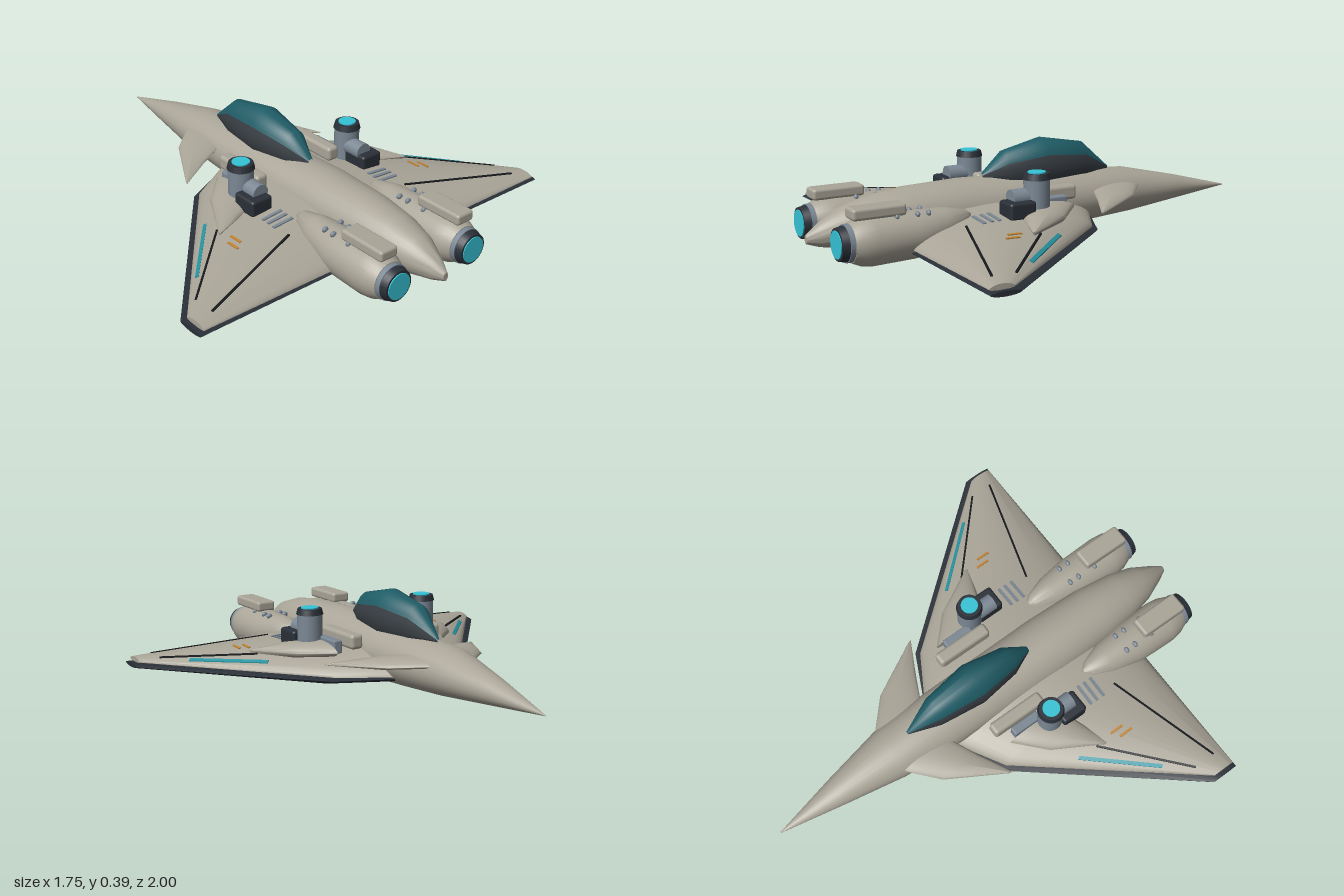
import * as THREE from 'three';
import { mergeVertices, toCreasedNormals } from 'three/addons/utils/BufferGeometryUtils.js';
import { RoundedBoxGeometry } from 'three/addons/geometries/RoundedBoxGeometry.js';

const mat = (name, color) => {
  const m = new THREE.MeshStandardMaterial({ color });
  m.name = name;
  return m;
};

// Skin a list of rings; closed rings also get end caps.
function loft(rings, closed = true, crease = 0.7) {
  const n = rings[0].length, pos = rings.flat(2), index = [];
  for (let i = 0; i < rings.length - 1; i++) {
    for (let j = 0; j < (closed ? n : n - 1); j++) {
      const k = (j + 1) % n, a = i * n + j, b = i * n + k;
      index.push(a, b, a + n, b, b + n, a + n);
    }
  }
  if (closed) {
    for (const i of [0, rings.length - 1]) {
      const c = pos.length / 3;
      pos.push(...[0, 1, 2].map((d) => rings[i].reduce((s, p) => s + p[d], 0) / n));
      for (let j = 0; j < n; j++) {
        const a = i * n + j, b = i * n + (j + 1) % n;
        index.push(c, ...(i ? [a, b] : [b, a]));
      }
    }
  }
  const g = new THREE.BufferGeometry();
  g.setAttribute('position', new THREE.Float32BufferAttribute(pos, 3));
  g.setIndex(index);
  return toCreasedNormals(g, crease);
}

// Elliptical body along z from sections [z, y, rx, ry]
function body(sections, cx = 0, from = 0, to = 360, sides = 28) {
  const closed = to - from === 360;
  return loft(sections.map(([z, y, rx, ry]) =>
    Array.from({ length: closed ? sides : sides + 1 }, (_, j) => {
      const a = THREE.MathUtils.degToRad(from + (to - from) * j / sides);
      return [cx + rx * Math.cos(a), y + ry * Math.sin(a), z];
    })), closed);
}

// Wing section shape; stations are [x, zLead, zTrail, yMid, rise, drop]
const bulge = (t) => Math.pow(Math.max(0, 4 * t * (1 - t)), 0.6);
function wing(stations, steps = 20) {
  return loft(stations.map(([x, lead, trail, y, up, down]) => {
    const ring = [];
    for (let s = 0; s < 2 * steps; s++) {
      const t = (1 - Math.cos(Math.PI * s / steps)) / 2;
      ring.push([x, y + bulge(t) * (s <= steps ? up : -down), lead + (trail - lead) * t]);
    }
    return ring;
  }), true, 0.9);
}

const upperWing = [
  [0.08, -0.22, 0.685, 0.066, 0.108, 0.01],
  [0.31, -0.085, 0.685, 0.068, 0.082, 0.01],
  [0.857, 0.585, 0.685, 0.068, 0.016, 0.006],
];
const lowerWing = [
  [0.09, -0.215, 0.69, 0.06, 0.008, 0.052],
  [0.325, -0.1, 0.69, 0.057, 0.008, 0.042],
  [0.875, 0.57, 0.69, 0.053, 0.01, 0.01],
];

// Height of the upper wing skin at (x, z)
function skinY(x, z) {
  const i = x < upperWing[1][0] ? 0 : 1, a = upperWing[i], b = upperWing[i + 1];
  const [, lead, trail, y, up] = a.map((v, k) => v + (b[k] - v) * (x - a[0]) / (b[0] - a[0]));
  return y + up * bulge((z - lead) / (trail - lead));
}

// Thin strip laid on the wing skin
function strip(x0, z0, x1, z1, w, lift = 0.004) {
  const len = Math.hypot(x1 - x0, z1 - z0);
  const nx = (z1 - z0) / len * w / 2, nz = -(x1 - x0) / len * w / 2;
  const rings = [];
  for (let i = 0; i <= 12; i++) {
    const x = x0 + (x1 - x0) * i / 12, z = z0 + (z1 - z0) * i / 12;
    const p = (s, h) => [x + s * nx, skinY(x + s * nx, z + s * nz) + h, z + s * nz];
    rings.push([p(-1, lift), p(-1, -0.005), p(1, -0.005), p(1, lift)]);
  }
  return loft(rings);
}

const box = (x0, x1, y0, y1, z0, z1, r = 0.012) =>
  new RoundedBoxGeometry(x1 - x0, y1 - y0, z1 - z0, 3, r)
    .translate((x0 + x1) / 2, (y0 + y1) / 2, (z0 + z1) / 2);
const post = (x, y0, y1, z, r0, r1 = r0) =>
  new THREE.CylinderGeometry(r1, r0, y1 - y0, 24).translate(x, (y0 + y1) / 2, z);
const tubeZ = (x, y, z0, z1, r0, r1 = r0) =>
  new THREE.CylinderGeometry(r1, r0, z1 - z0, 28).rotateX(Math.PI / 2).translate(x, y, (z0 + z1) / 2);

export function createModel() {
  const group = new THREE.Group();
  group.name = 'starfighter';
  const hull = mat('hull', 0xaaa598), dark = mat('charcoal', 0x2a3038), steel = mat('steel', 0x7b8894);
  const glass = mat('canopyGlass', 0x1f5c66), frame = mat('canopyFrame', 0x3a4046);
  const glow = mat('glow', 0x35c3d6), line = mat('panelLine', 0x16191c);
  const amber = mat('amber', 0xc08432), teal = mat('stripe', 0x2593a0);

  const add = (name, g, m) => {
    const mesh = new THREE.Mesh(g, m);
    mesh.name = name;
    group.add(mesh);
  };
  // Adds a left part and its mirrored right twin
  const pair = (name, g, m) => {
    add('left' + name, g, m);
    const r = mergeVertices(g.clone()).scale(-1, 1, 1);
    r.index.array.reverse();
    add('right' + name, r, m);
  };

  // Fuselage
  add('fuselage', body([
    [-1, 0.085, 0.002, 0.002], [-0.72, 0.108, 0.062, 0.052], [-0.45, 0.126, 0.115, 0.096],
    [-0.2, 0.125, 0.128, 0.112], [0.05, 0.123, 0.133, 0.123], [0.35, 0.13, 0.135, 0.126],
    [0.6, 0.13, 0.125, 0.118], [0.75, 0.126, 0.107, 0.102], [0.86, 0.118, 0.08, 0.078],
    [0.95, 0.1, 0.04, 0.045], [1, 0.09, 0.012, 0.018],
  ]), hull);

  // Canopy: glass above, frame below
  const canopy = [
    [-0.36, 0.232, 0.006, 0.006], [-0.225, 0.268, 0.06, 0.087], [-0.03, 0.28, 0.087, 0.11],
    [0.15, 0.268, 0.06, 0.082], [0.25, 0.252, 0.012, 0.012],
  ];
  add('canopyGlass', body(canopy, 0, 25, 155, 16), glass);
  add('canopyFrame', body(canopy, 0, 155, 385, 20), frame);

  // Wings, canards and wing fairings
  pair('UpperWing', wing(upperWing), hull);
  pair('LowerWing', wing(lowerWing), dark);
  pair('Canard', wing([
    [0.08, -0.475, -0.235, 0.162, 0.02, 0.02], [0.225, -0.345, -0.165, 0.15, 0.018, 0.018],
    [0.36, -0.105, -0.095, 0.132, 0.003, 0.003]]), hull);
  pair('WingFairing', wing([
    [0.26, -0.03, 0.22, 0.15, 0.032, 0.03], [0.38, 0.085, 0.265, 0.142, 0.028, 0.03],
    [0.49, 0.285, 0.297, 0.13, 0.004, 0.01]]), hull);

  // Wing markings
  pair('WingStripe', strip(0.47, 0.17, 0.7, 0.43, 0.014), teal);
  pair('LeadingPanelLine', strip(0.475, 0.255, 0.785, 0.54, 0.008), line);
  pair('TrailingPanelLine', strip(0.305, 0.48, 0.785, 0.635, 0.008), line);
  pair('InnerMarker', strip(0.47, 0.335, 0.47, 0.395, 0.01), amber);
  pair('OuterMarker', strip(0.502, 0.36, 0.502, 0.42, 0.01), amber);
  for (const z of [0.345, 0.376, 0.41]) pair('VentSlat', strip(0.23, z, 0.325, z, 0.013, 0.005), steel);

  // Engines
  const ex = 0.193, ey = 0.107;
  pair('Engine', body([
    [0.405, 0.15, 0.012, 0.012], [0.43, 0.145, 0.035, 0.035], [0.52, 0.125, 0.07, 0.072],
    [0.65, ey, 0.092, 0.092], [0.82, ey, 0.097, 0.097], [0.87, ey, 0.09, 0.09], [0.905, ey, 0.075, 0.075],
  ], ex), hull);
  pair('EngineCollar', tubeZ(ex, ey, 0.895, 0.925, 0.072), steel);
  pair('EngineNozzle', tubeZ(ex, ey, 0.92, 0.953, 0.07, 0.062), dark);
  pair('EngineGlow', tubeZ(ex, ey, 0.95, 0.957, 0.053), glow);
  pair('EngineTopBox', box(0.155, 0.24, 0.195, 0.24, 0.69, 0.905), hull);
  for (const x of [0.155, 0.232]) {
    for (const z of [0.6, 0.645, 0.73]) {
      const y = ey + Math.sqrt(0.092 ** 2 - (x - ex) ** 2);
      pair('EngineRivet', new THREE.SphereGeometry(0.012, 10, 8).scale(1.2, 1, 0.8).translate(x, y + 0.002, z), steel);
    }
  }

  // Side rails
  pair('SideRail', box(0.162, 0.218, 0.165, 0.226, -0.07, 0.18, 0.015), hull);
  pair('SideConduit', box(0.22, 0.258, 0.14, 0.195, 0, 0.13, 0.006), steel);

  // Turret pods
  const tx = 0.28, tz = 0.157;
  pair('PodBase', box(0.24, 0.34, 0.14, 0.21, 0.19, 0.305), dark);
  pair('PodMotor', tubeZ(0.272, 0.215, 0.13, 0.27, 0.036), steel);
  pair('PodColumn', post(tx, 0.14, 0.29, tz, 0.052), steel);
  pair('PodCap', post(tx, 0.284, 0.308, tz, 0.056, 0.05), dark);
  pair('PodLight', post(tx, 0.306, 0.313, tz, 0.036), glow);

  return group;
}
